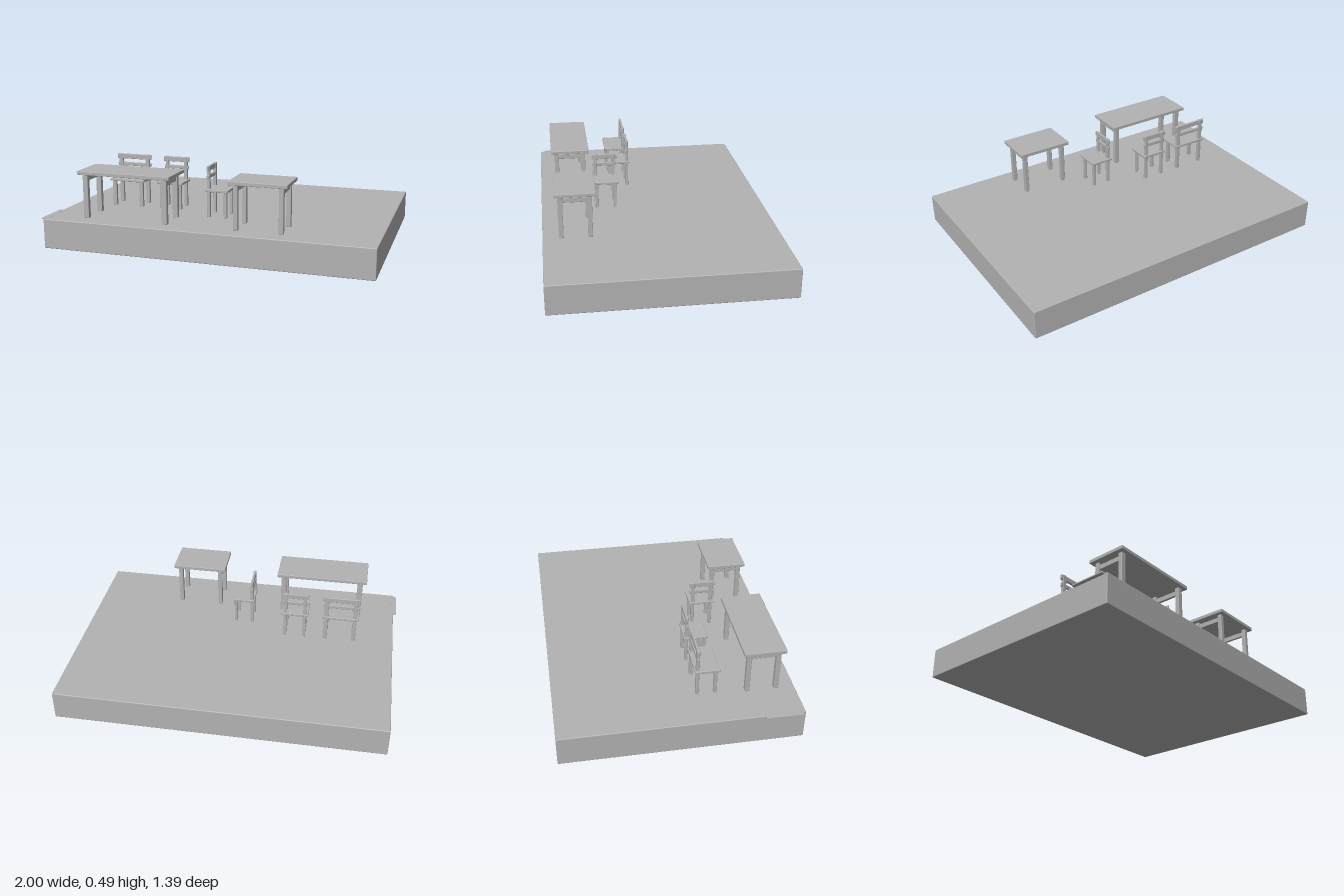
import * as THREE from 'three';
import { RoundedBoxGeometry } from 'three/addons/geometries/RoundedBoxGeometry.js';

const grey = new THREE.MeshStandardMaterial({ color: 0xb2b2b2 });
grey.name = 'plain grey';

const FLOOR = 0.18;

// Slightly bevelled block given by its extents on each axis
function block(parent, name, [x0, x1], [y0, y1], [z0, z1], bevel = 0.003) {
  const geometry = new RoundedBoxGeometry(x1 - x0, y1 - y0, z1 - z0, 2, bevel);
  const mesh = new THREE.Mesh(geometry, grey);
  mesh.name = name;
  mesh.position.set((x0 + x1) / 2, (y0 + y1) / 2, (z0 + z1) / 2);
  parent.add(mesh);
  return mesh;
}

// Four-legged table with short rails joining the legs at each end
function table(name, width, legWidth) {
  const g = new THREE.Group();
  g.name = name;
  const w = width / 2;
  block(g, 'tableTop', [-w, w], [0.266, 0.288], [-0.121, 0.121]);
  for (const s of [-1, 1]) {
    const x = s * (w - 0.025 - legWidth / 2);
    for (const t of [-1, 1]) {
      const z = t * 0.085;
      block(g, 'tableLeg', [x - legWidth / 2, x + legWidth / 2], [0, 0.268], [z - 0.0135, z + 0.0135]);
    }
    block(g, 'endRail', [x - 0.008, x + 0.008], [0.224, 0.254], [-0.08, 0.08]);
  }
  return g;
}

// Chair facing +z: the rear legs run up into the back posts
function chair(name, width, postWidth) {
  const g = new THREE.Group();
  g.name = name;
  const w = width / 2, p = postWidth / 2;
  block(g, 'seat', [-w, w], [0.157, 0.173], [-0.071, 0.071]);
  for (const s of [-1, 1]) {
    const x = s * (w - 0.012 - p);
    block(g, 'frontLeg', [x - p, x + p], [0, 0.16], [0.041, 0.06]);
    block(g, 'backPost', [x - p, x + p], [0, 0.313], [-0.064, -0.045]);
  }
  block(g, 'upperSlat', [-w, w], [0.281, 0.312], [-0.062, -0.048]);
  block(g, 'lowerSlat', [-w + 0.003, w - 0.003], [0.236, 0.258], [-0.062, -0.048]);
  return g;
}

function place(parent, part, x, z, turn = 0) {
  part.position.set(x, FLOOR, z);
  part.rotation.y = turn;
  parent.add(part);
}

export function createModel() {
  const model = new THREE.Group();
  model.name = 'furnishedPlatform';

  // Platform, with a thin threshold plate at its side
  block(model, 'platform', [-0.98, 1], [0, FLOOR], [-0.695, 0.695], 0.005);
  block(model, 'threshold', [-1, -0.96], [0.174, 0.181], [0.465, 0.675], 0.001);

  // Tables along the front
  place(model, table('longTable', 0.583, 0.032), -0.4925, 0.5);
  place(model, table('smallTable', 0.343, 0.027), 0.3215, 0.5);

  // Chairs behind the tables, one turned sideways
  place(model, chair('wideChair', 0.23, 0.025), -0.637, 0.181);
  place(model, chair('narrowChair', 0.167, 0.02), -0.348, 0.181);
  place(model, chair('sideChair', 0.156, 0.02), -0.001, 0.292, Math.PI / 2);

  return model;
}
